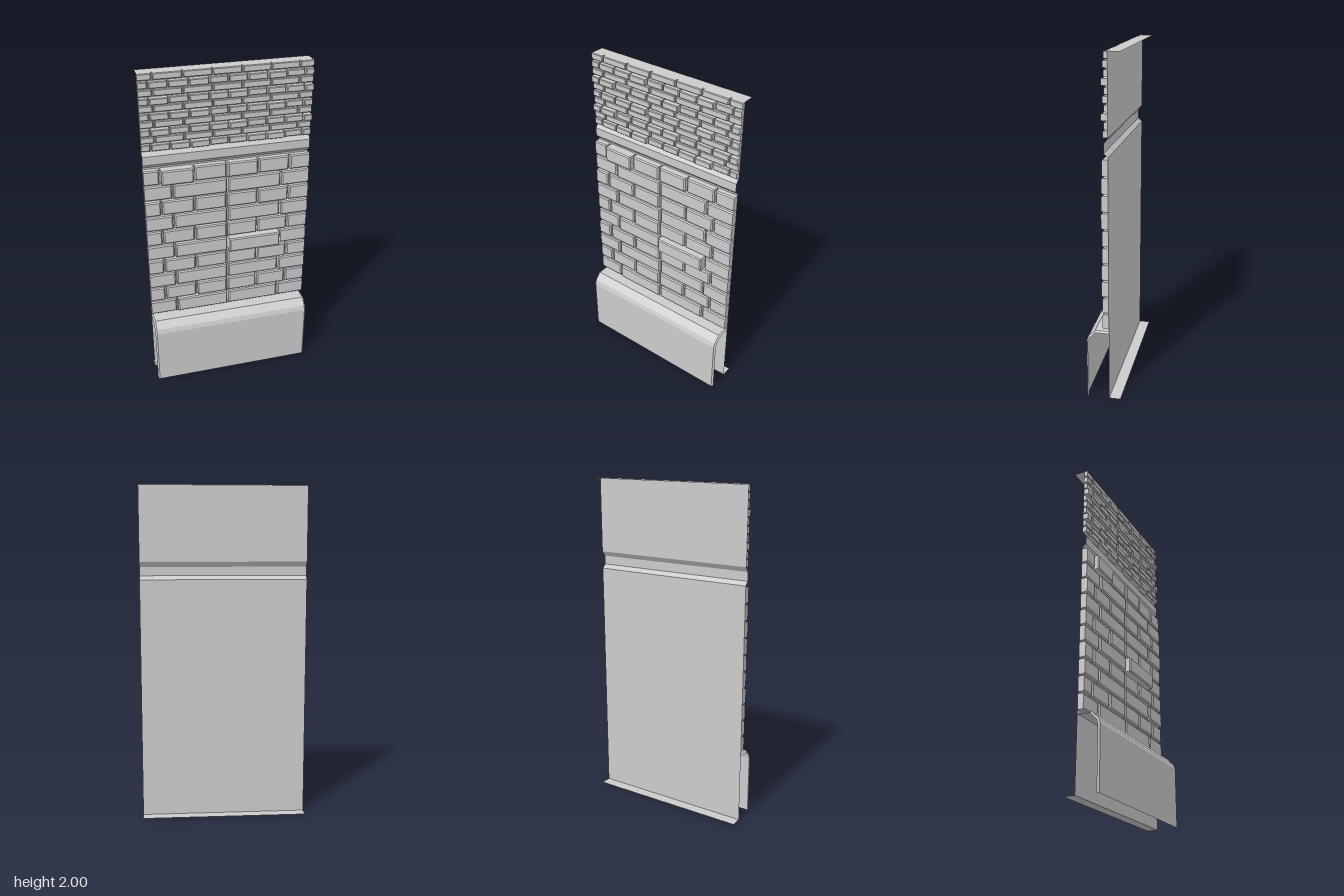
import * as THREE from 'three';

const BACK = -0.033;
const material = new THREE.MeshStandardMaterial({ color: 0xcccccc, flatShading: true });
const sheetMaterial = new THREE.MeshStandardMaterial({ color: 0xcccccc, flatShading: true, side: THREE.DoubleSide });

// Open sheet through cross-sections; each is { x, points: [[z, y], ...] }
function loft(sections) {
  const pos = [], index = [], n = sections[0].points.length;
  for (const s of sections) for (const [z, y] of s.points) pos.push(s.x, y, z);
  for (let i = 0; i < sections.length - 1; i++) {
    for (let j = 0; j < n - 1; j++) {
      const a = i * n + j, b = a + n;
      index.push(a, b, a + 1, b, b + 1, a + 1);
    }
  }
  const g = new THREE.BufferGeometry();
  g.setAttribute('position', new THREE.Float32BufferAttribute(pos, 3));
  g.setIndex(index);
  const flat = g.toNonIndexed();
  flat.computeVertexNormals();
  return flat;
}

// Block standing on the sheet, its front edges chamfered except at the panel ends
function brick(x0, x1, y0, y1, front, bevel) {
  const box = new THREE.BoxGeometry(1, 1, 1, 1, 1, 2);
  const p = box.attributes.position;
  for (let i = 0; i < p.count; i++) {
    const atFront = p.getZ(i) > 0.25, inset = atFront ? bevel : 0;
    const right = p.getX(i) > 0, top = p.getY(i) > 0;
    const x = right ? x1 - (x1 < 0.5 ? inset : 0) : x0 + (x0 > -0.5 ? inset : 0);
    const y = top ? y1 - inset : y0 + inset;
    const z = atFront ? front : p.getZ(i) < -0.25 ? BACK : front - bevel;
    p.setXYZ(i, x, y, z);
  }
  const g = box.toNonIndexed();
  g.computeVertexNormals();
  return g;
}

// Stacked courses using alternating lists of joint positions
function courses({ name, y, pitch, gap, rows, joints, bevel, depth }) {
  const group = new THREE.Group();
  group.name = name;
  for (let r = 0; r < rows; r++) {
    const cuts = [-0.5, ...joints[r % 2], 0.5];
    for (let c = 0; c < cuts.length - 1; c++) {
      const x0 = cuts[c] + (c > 0 ? gap / 2 : 0);
      const x1 = cuts[c + 1] - (c < cuts.length - 2 ? gap / 2 : 0);
      const y0 = y + r * pitch;
      const mesh = new THREE.Mesh(brick(x0, x1, y0, y0 + pitch - gap, depth(r, c), bevel), material);
      mesh.name = 'brick';
      group.add(mesh);
    }
  }
  return group;
}

export function createModel() {
  const model = new THREE.Group();
  model.name = 'brickWallPanel';

  // Backing sheet with folded flanges and a pressed-out moulding
  const wall = [[-0.1, 0], [BACK, 0], [BACK, 1.45], [-0.01, 1.473], [-0.01, 1.525],
    [BACK, 1.555], [BACK, 2], [-0.1, 2]];
  const sheet = new THREE.Mesh(loft([-0.5, 0.5].map(x => ({ x, points: wall }))), sheetMaterial);
  sheet.name = 'backingSheet';
  model.add(sheet);

  // Hollow plinth, open below and at the ends, with small end chamfers
  const outer = [[0.1, 0], [0.1, 0.36], [0.09, 0.39], [0.05, 0.43], [BACK, 0.43]];
  const inner = [[0.09, 0], [0.09, 0.357], [0.081, 0.383], [0.046, 0.42], [BACK, 0.42]];
  const plinth = new THREE.Mesh(loft([
    { x: -0.5, points: inner }, { x: -0.49, points: outer },
    { x: 0.49, points: outer }, { x: 0.5, points: inner },
  ]), sheetMaterial);
  plinth.name = 'plinth';
  model.add(plinth);

  // Large bricks, two of them standing proud
  const proud = { '4,2': 0.034, '9,1': 0.025, '9,3': 0.011 };
  model.add(courses({
    name: 'largeBricks', y: 0.45, pitch: 0.1, gap: 0.01, rows: 10, bevel: 0.007,
    joints: [[-0.335, -0.005, 0.325], [-0.405, -0.207, -0.01, 0.182, 0.375]],
    depth: (r, c) => proud[`${r},${c}`] ?? 0.002 + 0.002 * ((r * 5 + c * 3) % 4),
  }));

  // Small bricks in the upper band
  model.add(courses({
    name: 'smallBricks', y: 1.557, pitch: 0.0451, gap: 0.008, rows: 10, bevel: 0.004,
    joints: [
      [-0.445, -0.335, -0.22, -0.105, 0.005, 0.115, 0.23, 0.34, 0.45],
      [-0.42, -0.252, -0.085, 0.085, 0.252, 0.42],
    ],
    depth: (r, c) => (r % 2 ? -0.012 : -0.009 + 0.004 * ((r * 3 + c * 5) % 4)),
  }));

  return model;
}
